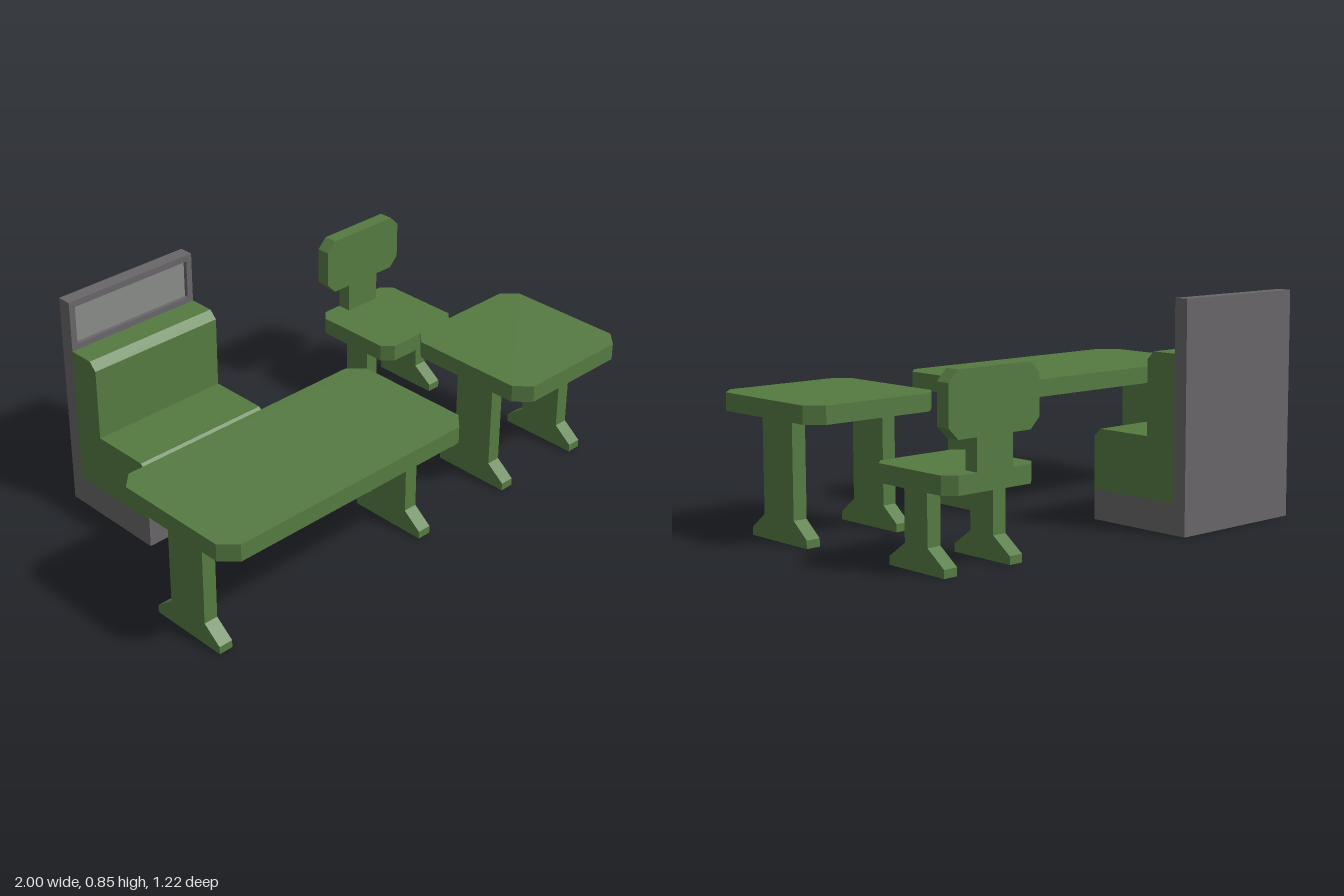
import * as THREE from 'three';

const green = new THREE.MeshStandardMaterial({ name: 'green', color: 0x557b42 });
const darkGrey = new THREE.MeshStandardMaterial({ name: 'dark grey', color: 0x686668 });
const lightGrey = new THREE.MeshStandardMaterial({ name: 'light grey', color: 0x8a8c8a });

const toShape = (points) => new THREE.Shape(points.map(([a, b]) => new THREE.Vector2(a, b)));

// Flat-sided prism centred on its thickness
function prism(shape, thickness) {
  const geometry = new THREE.ExtrudeGeometry(shape, { depth: thickness, bevelEnabled: false });
  return geometry.translate(0, 0, -thickness / 2);
}

// Rectangle with cut corners, centred on the origin
function cutRect(w, h, c) {
  const x = w / 2, y = h / 2;
  return toShape([[-x + c, -y], [x - c, -y], [x, -y + c], [x, y - c],
    [x - c, y], [-x + c, y], [-x, y - c], [-x, -y + c]]);
}

function add(parent, name, geometry, material, x = 0, y = 0, z = 0) {
  const mesh = new THREE.Mesh(geometry, material);
  mesh.name = name;
  mesh.position.set(x, y, z);
  parent.add(mesh);
  return mesh;
}

function addGroup(parent, name, x, z) {
  const group = new THREE.Group();
  group.name = name;
  group.position.set(x, 0, z);
  parent.add(group);
  return group;
}

// Horizontal slab with cut corners
const slab = (w, d, c, t) => prism(cutRect(w, d, c), t).rotateX(Math.PI / 2);

// Profile of [z, y] points extruded along x
const sideProfile = (points, width) => prism(toShape(points), width).rotateY(-Math.PI / 2);

// Upright leg flaring into a foot
function leg(height, foot, post) {
  return sideProfile([[-foot, 0], [foot, 0], [foot, 0.03], [post, 0.088], [post, height],
    [-post, height], [-post, 0.088], [-foot, 0.03]], 0.056);
}

function addTable(parent, name, width, x) {
  const table = addGroup(parent, name, x, 0.326);
  add(table, 'tableTop', slab(width, 0.57, 0.057, 0.066), green, 0, 0.482);
  for (const side of [-1, 1]) {
    add(table, side < 0 ? 'rightLeg' : 'leftLeg', leg(0.45, 0.161, 0.087), green, side * (width / 2 - 0.085));
  }
}

function addChair(parent) {
  const chair = addGroup(parent, 'chair', 0.713, -0.357);
  add(chair, 'chairSeat', slab(0.396, 0.396, 0.04, 0.066), green, 0, 0.312);
  for (const side of [-1, 1]) {
    add(chair, side < 0 ? 'rightLeg' : 'leftLeg', leg(0.28, 0.14, 0.058), green, side * 0.144);
  }
  add(chair, 'backStem', new THREE.BoxGeometry(0.158, 0.115, 0.056), green, 0, 0.4025, -0.17);
  add(chair, 'backrest', prism(cutRect(0.396, 0.226, 0.04), 0.056), green, 0, 0.573, -0.17);
}

function addBench(parent) {
  const w = 0.57;
  const bench = addGroup(parent, 'bench', -0.429, 0);

  add(bench, 'benchBase', new THREE.BoxGeometry(w, 0.115, 0.396), darkGrey, 0, 0.0575, -0.357);

  // Seat and backrest in one stepped cushion with chamfered front edges
  add(bench, 'benchCushion', sideProfile([[-0.555, 0.115], [-0.159, 0.115], [-0.159, 0.315],
    [-0.189, 0.345], [-0.424, 0.345], [-0.424, 0.625], [-0.454, 0.655], [-0.555, 0.655]], w), green);

  // Rear panel with a shallow recess near the top
  add(bench, 'rearPanel', new THREE.BoxGeometry(w, 0.853, 0.036), darkGrey, 0, 0.4265, -0.593);
  const face = toShape([[-w / 2, 0], [w / 2, 0], [w / 2, 0.853], [-w / 2, 0.853]]);
  face.holes.push(new THREE.Path([[-0.26, 0.678], [-0.26, 0.828], [0.26, 0.828], [0.26, 0.678]]
    .map(([x, y]) => new THREE.Vector2(x, y))));
  add(bench, 'panelFrame', prism(face, 0.02), darkGrey, 0, 0, -0.565);
  add(bench, 'windowPane', new THREE.BoxGeometry(0.52, 0.15, 0.004), lightGrey, 0, 0.753, -0.573);
}

export function createModel() {
  const model = new THREE.Group();
  model.name = 'diningSet';
  addTable(model, 'longTable', 1.14, -0.43);
  addTable(model, 'squareTable', 0.57, 0.715);
  addChair(model);
  addBench(model);
  return model;
}
